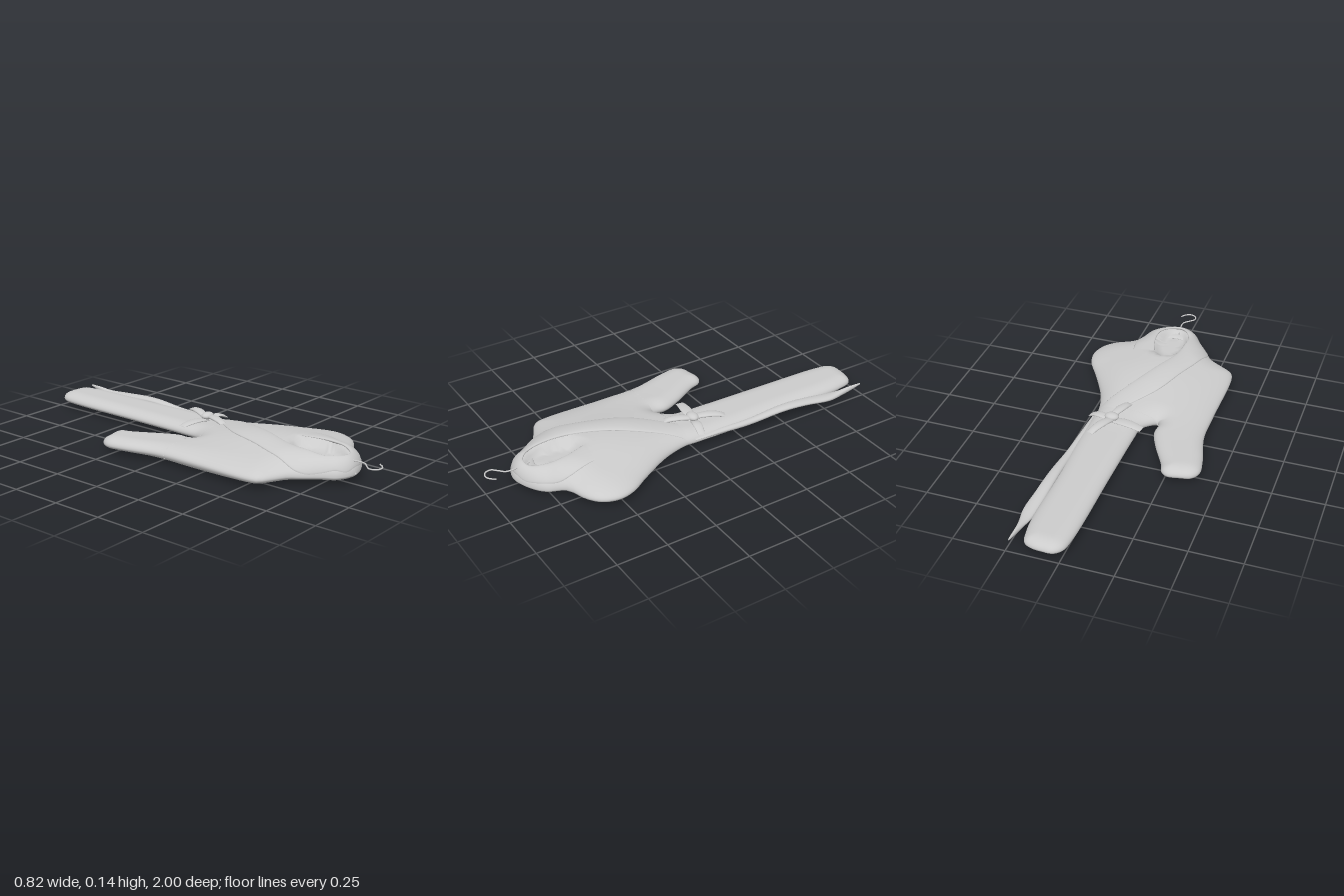
import * as THREE from 'three';

const material = new THREE.MeshStandardMaterial({ color: 0xcccccc, side: THREE.DoubleSide });
const { smoothstep, lerp } = THREE.MathUtils;

// Flat outline of the garment, as [x, z]: skirt, left side, neck, right side, sleeve
const outlineCurve = new THREE.CatmullRomCurve3([
  [-0.02, -0.88], [-0.005, -0.96], [0.03, -0.992], [0.08, -0.995], [0.13, -0.99], [0.17, -0.97], [0.19, -0.9], [0.2, -0.8],
  [0.2, -0.5], [0.21, -0.2], [0.207, 0], [0.205, 0.05], [0.24, 0.18], [0.33, 0.35], [0.39, 0.45],
  [0.407, 0.53], [0.38, 0.61], [0.32, 0.66], [0.22, 0.7], [0.18, 0.78], [0.12, 0.83], [0.01, 0.865],
  [-0.08, 0.83], [-0.12, 0.77], [-0.18, 0.695], [-0.21, 0.655], [-0.28, 0.615], [-0.335, 0.58], [-0.35, 0.53], [-0.35, 0.2],
  [-0.355, 0], [-0.4, -0.18], [-0.41, -0.27], [-0.38, -0.312], [-0.33, -0.325], [-0.27, -0.333],
  [-0.24, -0.315], [-0.22, -0.26], [-0.15, -0.13], [-0.115, -0.04], [-0.118, 0.02],
  [-0.107, 0.043], [-0.07, 0.02], [-0.04, -0.02], [-0.035, -0.1], [-0.028, -0.45],
].map(([x, z]) => new THREE.Vector3(x, 0, z)), true, 'centripetal');
const outline = outlineCurve.getPoints(300);

function edgeDistance(x, z) {
  let best = Infinity;
  for (let i = 0; i < outline.length - 1; i++) {
    const a = outline[i], b = outline[i + 1], dx = b.x - a.x, dz = b.z - a.z;
    const t = Math.min(1, Math.max(0, ((x - a.x) * dx + (z - a.z) * dz) / (dx * dx + dz * dz || 1)));
    best = Math.min(best, Math.hypot(x - a.x - t * dx, z - a.z - t * dz));
  }
  return best;
}

function crossings(z) {
  const xs = [];
  for (let i = 0; i < outline.length - 1; i++) {
    const a = outline[i], b = outline[i + 1];
    if ((a.z > z) !== (b.z > z)) xs.push(lerp(a.x, b.x, (z - a.z) / (b.z - a.z)));
  }
  return xs.sort((p, q) => p - q);
}

// Heights of the padded cloth, rounded off towards the outline
const EDGE = 0.045;
const rounded = t => Math.sqrt(1 - (1 - Math.min(1, t)) ** 2);
const bump = (x, z, cx, cz, rx, rz) => Math.exp(-(((x - cx) / rx) ** 2) - ((z - cz) / rz) ** 2);

function topHeight(x, z) {
  const chest = smoothstep(z, -0.15, 0.45);
  const crown = 0.082 + 0.056 * chest * Math.exp(-(((x - 0.03) / 0.26) ** 2));
  return lerp(EDGE, crown, rounded(edgeDistance(x, z) / (0.07 + 0.07 * chest)));
}
function bottomHeight(x, z) {
  const floor = 0.02 - 0.019 * bump(x, z, -0.22, 0.2, 0.16, 0.3);
  return lerp(EDGE, floor, rounded(edgeDistance(x, z) / 0.06));
}
// Hollow of the neck opening
function neckDip(x, z) {
  const q = Math.hypot((x - 0.02) / 0.09, (z - 0.66) / 0.16);
  return 0.05 * (1 - smoothstep(q, 0.6, 1.05));
}

// Closed rings of points joined along a run
function loft(name, rows, ring, point) {
  const pos = [], index = [];
  for (let i = 0; i <= rows; i++)
    for (let j = 0; j < ring; j++) pos.push(...point(i / rows, j / ring));
  for (let i = 0; i < rows; i++)
    for (let j = 0; j < ring; j++) {
      const k = (j + 1) % ring, a = i * ring + j, b = i * ring + k, c = a + ring, d = b + ring;
      index.push(a, c, b, b, c, d);
    }
  const g = new THREE.BufferGeometry();
  g.setAttribute('position', new THREE.Float32BufferAttribute(pos, 3));
  g.setIndex(index);
  g.computeVertexNormals();
  const mesh = new THREE.Mesh(g, material);
  mesh.name = name;
  return mesh;
}

const ease = t => (1 - Math.cos(Math.PI * t)) / 2;

// Padded panel filling part of the outline between two z values
function panel(name, z0, z1, pick, rows) {
  return loft(name, rows, 64, (u, v) => {
    const z = lerp(z0, z1, ease(u));
    const [xl, xr] = pick(crossings(z));
    const top = v < 0.5;
    const x = lerp(xl, xr, ease(top ? v * 2 : 2 - v * 2));
    return [x, top ? topHeight(x, z) - neckDip(x, z) : bottomHeight(x, z), z];
  });
}

// Strip of cloth between two edge curves of [x, z] points
function strip(name, left, right, height, thick, rows = 24) {
  const curve = pts => new THREE.CatmullRomCurve3(pts.map(([x, z]) => new THREE.Vector3(x, 0, z)));
  const a = curve(left), b = curve(right);
  return loft(name, rows, 20, (u, v) => {
    const p = a.getPoint(u), q = b.getPoint(u), top = v < 0.5;
    const t = ease(top ? v * 2 : 2 - v * 2);
    const x = lerp(p.x, q.x, t), z = lerp(p.z, q.z, t);
    const swell = thick * Math.sqrt(Math.max(0, 4 * t * (1 - t))) * Math.min(1, 0.3 + 6 * u, 0.3 + 6 * (1 - u));
    return [x, height(x, z, u) + (top ? swell : -swell), z];
  });
}

// Ribbon of even width between two points, arched in the middle
function ribbon(name, [x0, z0], [x1, z1], width, y, arch, thick) {
  const len = Math.hypot(x1 - x0, z1 - z0);
  const nx = -(z1 - z0) / len * width / 2, nz = (x1 - x0) / len * width / 2;
  const side = s => [0, 0.5, 1].map(t => {
    const w = s * (t === 0.5 ? 1 : 0.75);
    return [lerp(x0, x1, t) + nx * w, lerp(z0, z1, t) + nz * w];
  });
  return strip(name, side(-1), side(1), (x, z, u) => y + arch * Math.sin(Math.PI * u), thick, 12);
}

export function createModel() {
  const group = new THREE.Group();
  group.name = 'robe';
  const e = 0.0004;
  const ext = (test, fn) => fn(...outline.filter(test).map(p => p.z));
  const crotch = ext(p => p.x < -0.06 && p.x > -0.2 && p.z < 0.1, Math.max);
  const skirtEnd = ext(() => true, Math.min), neckEnd = ext(() => true, Math.max);
  const cuffEnd = ext(p => p.x < -0.15, Math.min);

  // Padded body
  group.add(panel('torso', crotch + e, neckEnd - e, xs => [xs[0], xs[xs.length - 1]], 64));
  group.add(panel('skirt', skirtEnd + e, crotch - e, xs => xs.slice(-2), 56));
  group.add(panel('sleeve', cuffEnd + e, crotch - e, xs => xs.slice(0, 2), 36));

  // Shawl collar: up from the waist, round the neck, down the other side
  group.add(strip('collar',
    [[0.09, 0.03], [-0.05, 0.22], [-0.12, 0.4], [-0.17, 0.55], [-0.185, 0.67], [-0.12, 0.765], [-0.04, 0.85],
      [0.08, 0.845], [0.17, 0.775], [0.2, 0.67], [0.185, 0.53]],
    [[0.2, 0.04], [0.09, 0.24], [0.01, 0.4], [-0.05, 0.55], [-0.06, 0.65], [-0.055, 0.74], [0, 0.805],
      [0.06, 0.8], [0.1, 0.735], [0.1, 0.65], [0.07, 0.53]],
    (x, z) => topHeight(x, z) + 0.001, 0.011, 90));
  // Inside of the back of the neck
  group.add(strip('neckLining',
    [[-0.06, 0.73], [0.02, 0.755], [0.1, 0.73]], [[-0.05, 0.8], [0.02, 0.82], [0.08, 0.8]],
    (x, z) => 0.088 + 0.1 * (z - 0.74), 0.006));

  // Front edge of the skirt showing beside the wrap
  group.add(strip('skirtFlap',
    [[0.18, 0], [0.19, -0.3], [0.19, -0.6], [0.2, -0.8], [0.215, -0.88], [0.23, -0.99]],
    [[0.212, 0], [0.228, -0.3], [0.24, -0.5], [0.25, -0.65], [0.26, -0.77], [0.243, -0.88], [0.236, -0.99]],
    (x, z) => 0.055 + 0.012 * Math.sin(z * 9) * smoothstep(-z, 0.1, 0.5) + 0.012 * smoothstep(-z, 0.8, 1), 0.014, 40));

  // Tied belt
  const belt = new THREE.Group();
  belt.name = 'belt';
  belt.add(ribbon('beltTail', [-0.065, -0.085], [0.1, -0.055], 0.055, 0.088, 0.01, 0.007));
  belt.add(ribbon('beltBand', [0.09, -0.06], [0.215, -0.03], 0.045, 0.078, 0.022, 0.007));
  belt.add(ribbon('bowLoop', [0.09, -0.06], [0.155, -0.205], 0.048, 0.1, 0.012, 0.01));
  belt.add(ribbon('bowLoop', [0.1, -0.05], [0.05, 0.08], 0.045, 0.105, 0.008, 0.01));
  const knot = new THREE.Mesh(new THREE.SphereGeometry(1, 20, 14), material);
  knot.name = 'knot';
  knot.scale.set(0.036, 0.018, 0.028);
  knot.position.set(0.095, 0.11, -0.055);
  belt.add(knot);
  group.add(belt);

  // Hanger hook
  const hookPath = new THREE.CatmullRomCurve3([[0.01, 0.78], [0.02, 0.83], [0.022, 0.9], [-0.005, 0.93],
    [-0.027, 0.955], [-0.02, 0.985], [0.01, 0.997], [0.035, 0.985], [0.052, 0.963],
  ].map(([x, z]) => new THREE.Vector3(x, 0.102, z)));
  const hook = new THREE.Mesh(new THREE.TubeGeometry(hookPath, 48, 0.0035, 8), material);
  hook.name = 'hangerHook';
  group.add(hook);
  return group;
}
